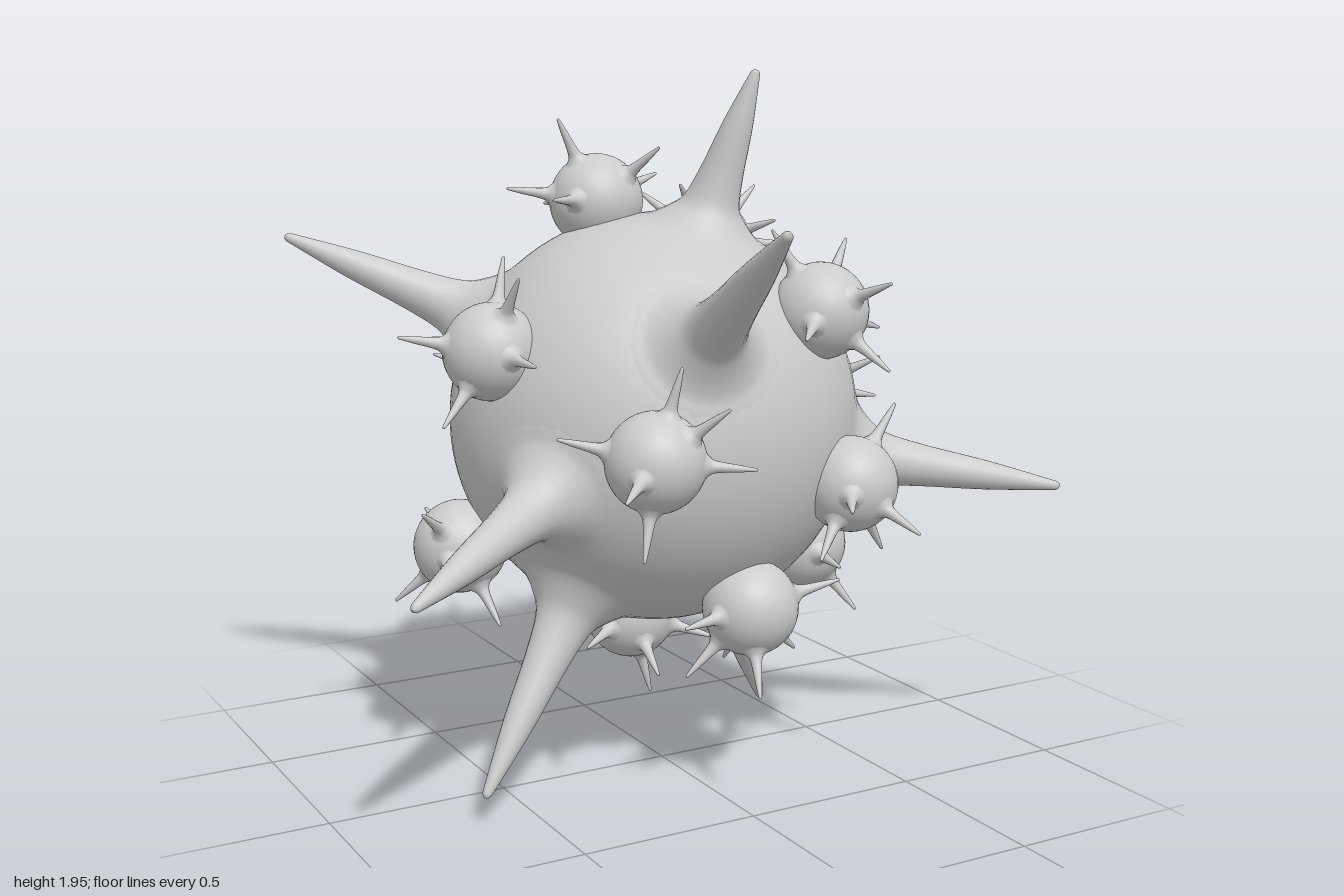
import * as THREE from 'three';

const UP = new THREE.Vector3(0, 1, 0);
const CENTRE = new THREE.Vector3(0, 1, -0.05);
const material = new THREE.MeshStandardMaterial({ color: 0xcccccc, side: THREE.DoubleSide });

// Flared spike along +y, melting into a ball of radius R at the origin, ending at height L
function spikeGeometry(R, L, base, tip, sides) {
  const at = (r, t) => new THREE.Vector2(r, R + (L - R) * t);
  const skin = (r, lift) => new THREE.Vector2(r, Math.sqrt(R * R - r * r) + lift * R);
  const curve = new THREE.SplineCurve([
    skin(base * 1.2, -0.006), skin(base, 0.001), skin(base * 0.8, 0.012),
    at(base * 0.57, 0.05), at(base * 0.41, 0.14), at(base * 0.31, 0.34),
    at(base * 0.2 + tip * 0.2, 0.65), at(tip, 0.98),
  ]);
  const points = [...curve.getPoints(28), at(tip * 0.6, 0.995), at(0, 1)];
  return new THREE.LatheGeometry(points, sides);
}

function addSpike(parent, name, geometry, direction) {
  const mesh = new THREE.Mesh(geometry, material);
  mesh.name = name;
  mesh.quaternion.setFromUnitVectors(UP, direction.clone().normalize());
  parent.add(mesh);
}

// Large spike rooted at one point of the sphere and leaning towards its tip
function addLargeSpike(parent, root, tip) {
  const R = 0.57;
  const axis = root.clone().normalize();
  const toLocal = new THREE.Quaternion().setFromUnitVectors(axis, UP);
  const localTip = tip.clone().applyQuaternion(toLocal);
  const geometry = spikeGeometry(R, localTip.y, 0.19, 0.013, 24);
  const p = geometry.attributes.position;
  for (let i = 0; i < p.count; i++) {
    const t = Math.max(0, (p.getY(i) - R) / (localTip.y - R));
    p.setX(i, p.getX(i) + localTip.x * t);
    p.setZ(i, p.getZ(i) + localTip.z * t);
  }
  addSpike(parent, 'largeSpike', geometry, axis);
}

// Small ball with a ring of thin spikes and one pointing outward
const smallBall = new THREE.SphereGeometry(0.13, 32, 24);
const smallSpike = spikeGeometry(0.129, 0.255, 0.042, 0.004, 12);

function buildBall(x, y, z, ringAngles) {
  const ball = new THREE.Group();
  ball.name = 'spikyBall';
  ball.position.set(x, y, z);
  const body = new THREE.Mesh(smallBall, material);
  body.name = 'ballBody';
  ball.add(body);

  // Local frame: outward normal, with "up" as near to +y (or -z on the top) as possible
  const out = ball.position.clone().sub(CENTRE).normalize();
  const hint = Math.abs(out.y) > 0.85 ? new THREE.Vector3(0, 0, -1) : UP;
  const right = new THREE.Vector3().crossVectors(hint, out).normalize();
  const up = new THREE.Vector3().crossVectors(out, right);
  ringAngles.forEach((degrees, i) => {
    const a = THREE.MathUtils.degToRad(degrees);
    const lift = i % 2 ? 0.4 : 0.12;
    const direction = out.clone().multiplyScalar(lift)
      .addScaledVector(right, Math.sin(a)).addScaledVector(up, Math.cos(a));
    addSpike(ball, 'smallSpike', smallSpike, direction);
  });
  const lean = out.clone().addScaledVector(right, -0.3).addScaledVector(up, -0.2);
  addSpike(ball, 'smallSpike', smallSpike, lean);
  return ball;
}

export function createModel() {
  const model = new THREE.Group();
  model.name = 'spikySphere';

  // Main sphere
  const core = new THREE.Mesh(new THREE.SphereGeometry(0.57, 72, 48), material);
  core.name = 'mainSphere';
  core.position.copy(CENTRE);
  model.add(core);

  // Large spikes: root and tip
  const spikes = new THREE.Group();
  spikes.name = 'largeSpikes';
  spikes.position.copy(CENTRE);
  const pairs = [
    [[0.09, 1.57, 0.09], [0.2, 1.955, 0.16]],
    [[-0.46, 1.31, -0.36], [-0.87, 1.5, -0.61]],
    [[0.41, 1.27, -0.38], [0.43, 1.44, -0.69]],
    [[-0.12, 1.31, 0.49], [-0.23, 1.59, 0.99]],
    [[-0.49, 0.86, 0.24], [-0.96, 0.72, 0.54]],
    [[0.5, 0.885, 0.24], [0.95, 0.815, 0.575]],
    [[-0.32, 0.54, 0.08], [-0.65, 0.085, 0.22]],
    [[0.29, 0.52, -0.17], [0.525, 0.008, -0.3]],
    [[-0.14, 0.69, -0.52], [-0.29, 0.355, -0.99]],
  ];
  for (const pair of pairs) {
    const [root, tip] = pair.map((point) => new THREE.Vector3(...point).sub(CENTRE));
    addLargeSpike(spikes, root, tip);
  }
  model.add(spikes);

  // Small balls: x, y, z, and the clockwise angles of the ring spikes
  const balls = [
    [-0.285, 0.99, 0.48, [15, 50, 93, 187, 285]],
    [0.275, 1.325, 0.37, [-20, 50, 113, 185, 253]],
    [0.34, 0.86, 0.43, [30, 144, 228, 270]],
    [0.065, 0.54, 0.37, [60, 125, 170, 230, 275]],
    [0.43, 0.605, 0.06, [-8, 40, 107, 193, 272]],
    [0.615, 1.01, -0.2, [-12, 34, 97, 148, 201, 297]],
    [-0.53, 1.23, 0.04, [-10, 40, 95, 170, 270]],
    [-0.53, 0.655, -0.2, [45, 85, 150, 230, 290]],
    [-0.125, 1.6, -0.15, [-10, 21, 73, 147, 231, 280]],
    [0.29, 1.46, -0.25, [0, 60, 150, 235, 290]],
    [0.3, 1.115, -0.57, [-35, 10, 50, 120, 250]],
    [-0.19, 1.045, -0.61, [-45, 70, 118, 180, 275]],
    [0.215, 0.65, -0.49, [-12, 95, 145, 215, 290]],
    [-0.03, 0.41, -0.135, [10, 65, 125, 175, 230, 305]],
  ];
  for (const ball of balls) model.add(buildBall(...ball));

  return model;
}
